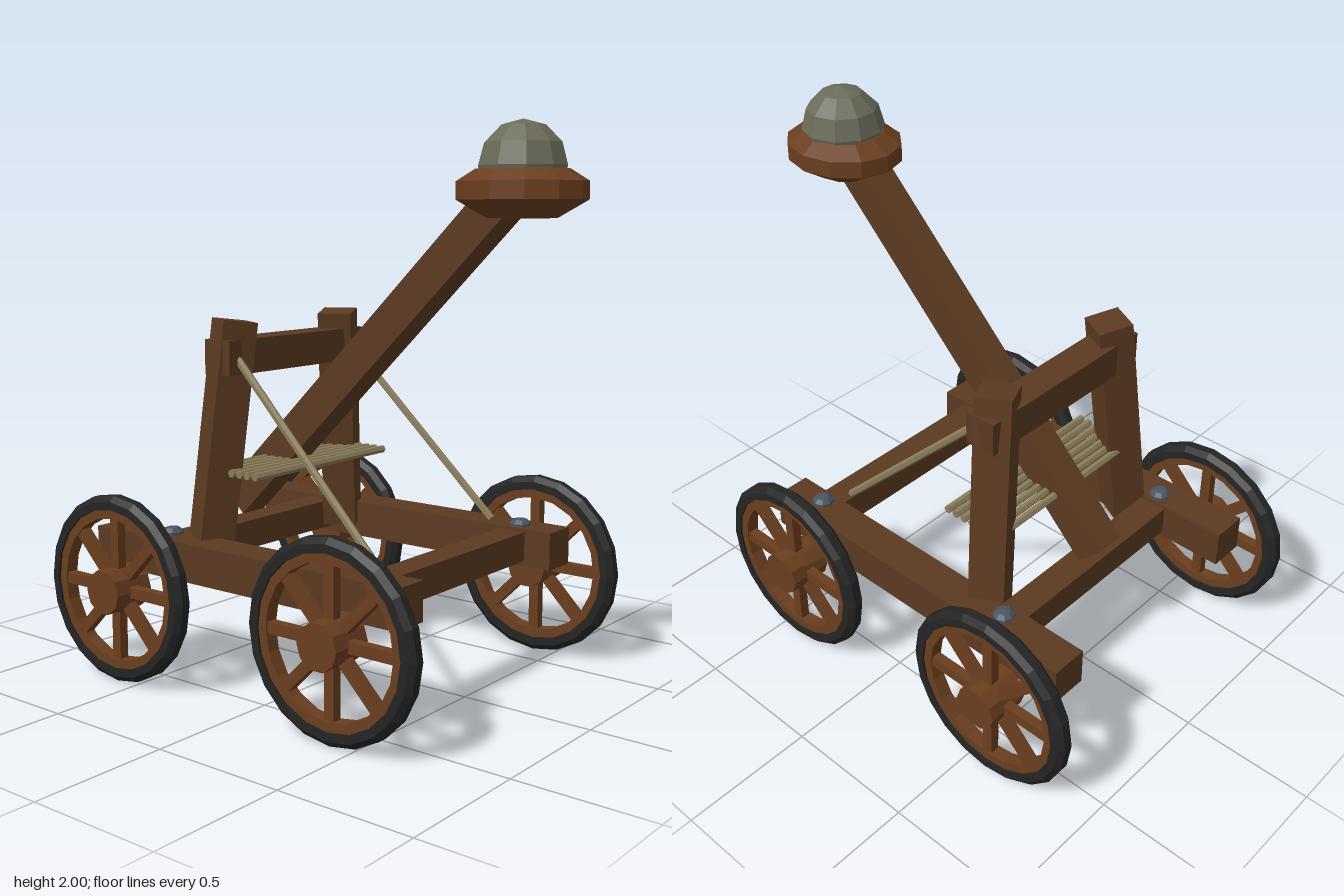
import * as THREE from 'three';

const mat = (name, color) => {
  const m = new THREE.MeshStandardMaterial({ color, flatShading: true });
  m.name = name;
  return m;
};

export function createModel() {
  const timber = mat('timber', 0x5c3a21);
  const wheelWood = mat('wheelWood', 0x6b3e1f);
  const tyreMat = mat('tyre', 0x242424);
  const stoneMat = mat('stone', 0x6b6b5a);
  const ropeMat = mat('rope', 0x8b7d5b);
  const iron = mat('iron', 0x4a5560);

  const model = new THREE.Group();
  model.name = 'catapult';
  const V = (x, y, z) => new THREE.Vector3(x, y, z);
  const UP = V(0, 1, 0);

  const add = (name, geo, material, x = 0, y = 0, z = 0, parent = model) => {
    const m = new THREE.Mesh(geo, material);
    m.name = name;
    m.position.set(x, y, z);
    parent.add(m);
    return m;
  };
  const box = (name, w, h, d, x, y, z) =>
    add(name, new THREE.BoxGeometry(w, h, d), timber, x, y, z);

  // Lay an upright geometry along a line, optionally twisted about its axis
  const span = (name, a, b, makeGeo, material, twist = 0) => {
    const dir = b.clone().sub(a);
    const m = add(name, makeGeo(dir.length()), material);
    m.position.copy(a).add(b).multiplyScalar(0.5);
    m.quaternion.setFromUnitVectors(UP, dir.normalize())
      .multiply(new THREE.Quaternion().setFromAxisAngle(UP, twist));
    return m;
  };
  const beam = (w, d) => (len) => new THREE.BoxGeometry(w, len, d);
  const cord = (len) => new THREE.CylinderGeometry(0.015, 0.015, len, 6);
  const lathe = (pts, sides) =>
    new THREE.LatheGeometry(pts.map(([r, y]) => new THREE.Vector2(r, y)), sides);

  // Base frame
  for (const s of [-1, 1]) box('sideRail', 0.14, 0.14, 1.4, s * 0.47, 0.46, -0.1);
  box('frontCrossBeam', 0.82, 0.11, 0.11, 0, 0.465, 0.437);
  box('rearCrossBeam', 0.82, 0.11, 0.11, 0, 0.465, -0.495);

  // Leaning posts and the stop beam between them
  for (const s of [-1, 1]) {
    span('post', V(s * 0.387, 0.45, -0.365), V(s * 0.293, 1.313, -0.315),
      beam(0.13, 0.13), timber, s * 0.47);
  }
  box('stopBeam', 0.77, 0.125, 0.12, 0, 1.185, -0.317);

  // Throwing arm with cup and stone
  span('throwingArm', V(0, 0.58, -0.55), V(0, 1.74, 0.63), beam(0.12, 0.13), timber);
  const cup = add('cup', lathe([[0, -0.08], [0.12, -0.08], [0.225, -0.02],
    [0.225, 0.04], [0.16, 0.08], [0, 0.08]], 12), wheelWood, 0, 1.76, 0.7);
  cup.scale.x = 0.88;
  add('stone', new THREE.SphereGeometry(0.15, 10, 6), stoneMat, 0, 1.85, 0.7);

  // Stay ropes and the bundle of twisted cords
  for (const s of [-1, 1]) {
    span('stayRope', V(s * 0.33, 1.19, -0.28), V(s * 0.37, 0.56, 0.365), cord, ropeMat);
  }
  for (let i = 0; i < 7; i++) {
    const z = -0.152 - i * 0.038;
    span('cordStrand', V(-0.375, 0.768, z), V(0.375, 0.768, z), cord, ropeMat);
  }

  // Bolt heads at the frame corners
  const boltGeo = lathe([[0, 0], [0.04, 0], [0.04, 0.012], [0.026, 0.026], [0, 0.03]], 8);
  for (const x of [-0.452, 0.452]) {
    for (const z of [0.44, -0.49]) add('bolt', boltGeo, iron, x, 0.528, z);
  }

  // Wheels: built around the y axis, then turned onto their sides
  const tyreGeo = lathe([[0.295, -0.034], [0.325, -0.034], [0.345, -0.016], [0.345, 0.016],
    [0.325, 0.034], [0.295, 0.034], [0.295, -0.034]], 20);
  const rimGeo = lathe([[0.262, -0.025], [0.3, -0.025], [0.3, 0.025],
    [0.262, 0.025], [0.262, -0.025]], 20);
  const hubGeo = new THREE.CylinderGeometry(0.082, 0.082, 0.16, 10);
  const spokeGeo = new THREE.BoxGeometry(0.22, 0.036, 0.04).translate(0.17, 0, 0);
  for (const s of [-1, 1]) {
    for (const z of [0.41, -0.59]) {
      const wheel = new THREE.Group();
      wheel.name = 'wheel';
      wheel.position.set(s * 0.63, 0.345, z);
      wheel.rotation.z = -s * Math.PI / 2;
      model.add(wheel);
      add('tyre', tyreGeo, tyreMat, 0, 0, 0, wheel);
      add('rim', rimGeo, wheelWood, 0, 0, 0, wheel);
      add('hub', hubGeo, wheelWood, 0, 0, 0, wheel);
      for (let i = 0; i < 8; i++) {
        add('spoke', spokeGeo, wheelWood, 0, 0, 0, wheel).rotation.y = i * Math.PI / 4;
      }
    }
  }
  return model;
}
